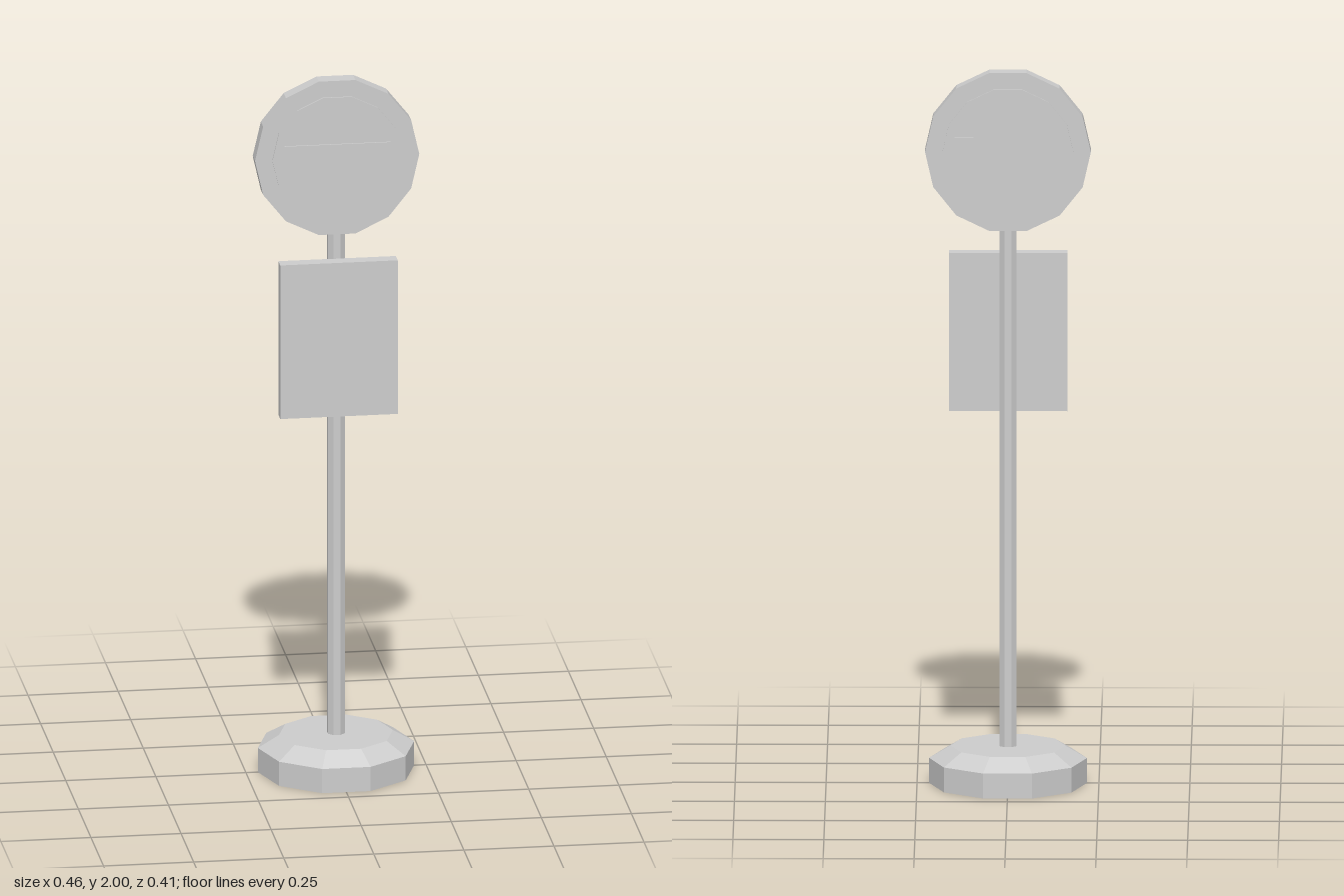
import * as THREE from 'three';

export function createModel() {
  const root = new THREE.Group();
  root.name = 'roadsideStopSign';
  const grey = new THREE.MeshStandardMaterial({ color: 0xcccccc });
  grey.name = 'light grey';
  grey.flatShading = true;

  const add = (name, geometry, x, y, z) => {
    const mesh = new THREE.Mesh(geometry, grey);
    mesh.name = name;
    mesh.position.set(x, y, z);
    root.add(mesh);
    return mesh;
  };
  // Faceted cylinder with a corner at the given start angle
  const prism = (top, bottom, height, sides, start = Math.PI / 2) =>
    new THREE.CylinderGeometry(top, bottom, height, sides, 1, false, start);

  // Ten-sided foot: upright wall and chamfered upper edge
  const footProfile = [[0, 0], [0.217, 0], [0.217, 0.07], [0.158, 0.105], [0, 0.105]]
    .map(([r, y]) => new THREE.Vector2(r, y));
  add('foot', new THREE.LatheGeometry(footProfile, 10, Math.PI / 2).toNonIndexed(), 0, 0, 0);

  // Pole running up into the round sign
  add('pole', prism(0.025, 0.025, 1.5, 8, Math.PI / 8), 0, 0.85, 0);

  // Timetable board on the front of the pole
  add('board', new THREE.BoxGeometry(0.326, 0.445, 0.038), 0, 1.2625, 0.041);

  // Round sign with a raised face and a crossbar on both sides
  const signY = 1.778;
  add('signDisc', prism(0.228, 0.228, 0.046, 14).rotateX(Math.PI / 2), 0, signY, 0);
  for (const side of [1, -1]) {
    const end = side > 0 ? 'Front' : 'Back';
    add('raisedFace' + end, prism(0.18, 0.18, 0.008, 14).rotateX(Math.PI / 2), 0, signY, side * 0.0235);
    add('crossbar' + end, new THREE.BoxGeometry(0.294, 0.082, 0.008), 0, signY, side * 0.028);
  }
  return root;
}
